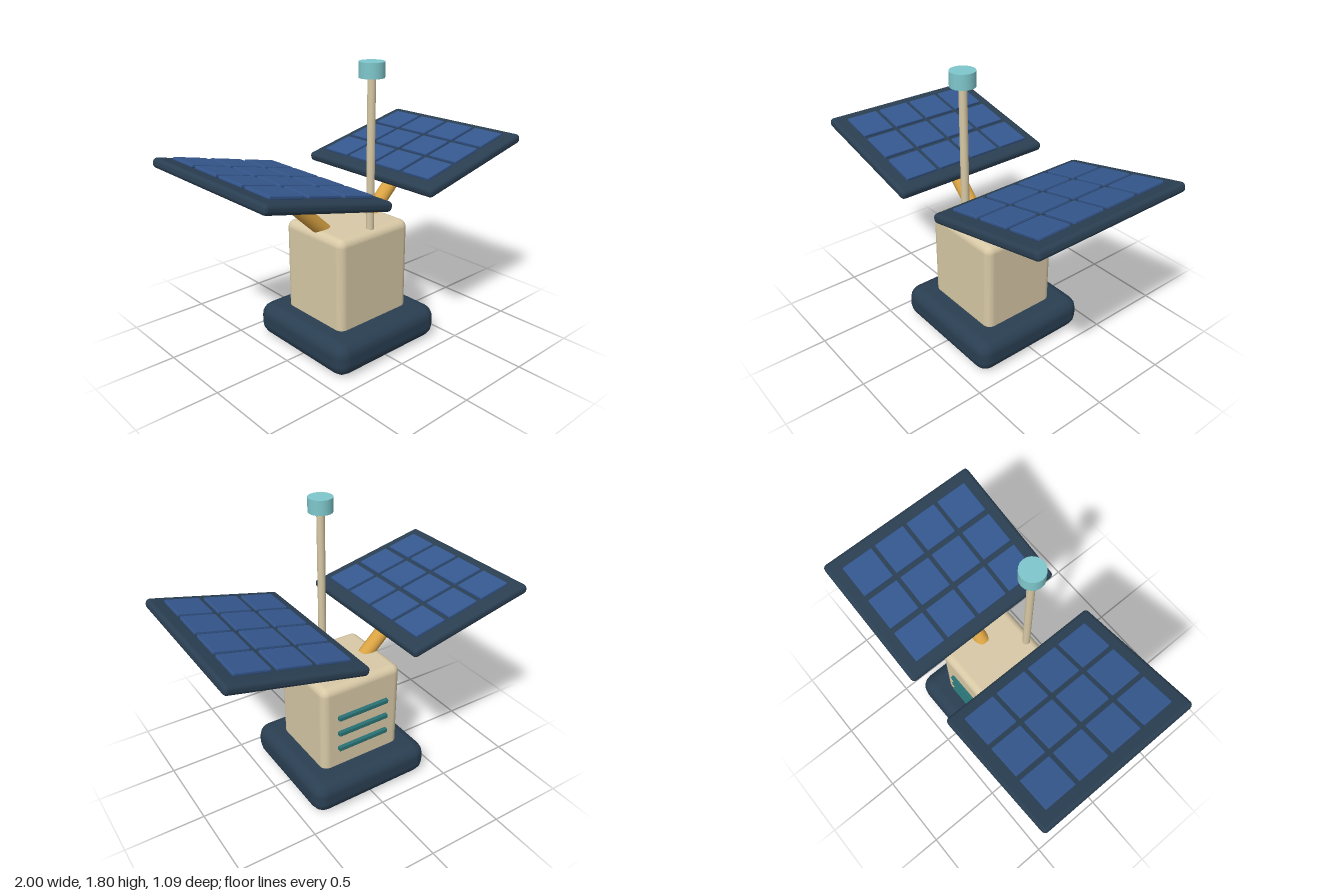
import * as THREE from 'three';
import { RoundedBoxGeometry } from 'three/addons/geometries/RoundedBoxGeometry.js';

const mat = (color) => new THREE.MeshStandardMaterial({ color });
const navy = mat(0x2a3f52), cream = mat(0xd8c9a6), gold = mat(0xdba443);
const aqua = mat(0x7fc8cd), blue = mat(0x35588f), teal = mat(0x2a7376);

function add(parent, name, geometry, material, x = 0, y = 0, z = 0) {
  const mesh = new THREE.Mesh(geometry, material);
  mesh.name = name;
  mesh.position.set(x, y, z);
  parent.add(mesh);
  return mesh;
}

// Tilted solar panel with a 3 x 4 grid of cells, plus its slanted strut
function createWing(side) {
  const wing = new THREE.Group();
  wing.name = side > 0 ? 'leftWing' : 'rightWing';

  const panel = new THREE.Group();
  panel.name = 'solarPanel';
  panel.position.set(side * 0.575, 1.16, 0);
  panel.rotation.z = side * 0.22;
  add(panel, 'panelFrame', new RoundedBoxGeometry(0.87, 0.06, 1.085, 2, 0.025), navy);
  const cell = new RoundedBoxGeometry(0.215, 0.02, 0.21, 1, 0.006);
  for (let i = 0; i < 3; i++) {
    for (let j = 0; j < 4; j++) {
      add(panel, 'solarCell', cell, blue, (i - 1) * 0.245, 0.039, (j - 1.5) * 0.235);
    }
  }
  wing.add(panel);

  const from = new THREE.Vector3(side * 0.185, 0.775, 0);
  const to = new THREE.Vector3(side * 0.57, 1.14, 0);
  const dir = to.clone().sub(from);
  const strut = add(wing, 'strut', new THREE.CylinderGeometry(0.047, 0.047, dir.length(), 16), gold);
  strut.position.copy(from).add(to).multiplyScalar(0.5);
  strut.quaternion.setFromUnitVectors(new THREE.Vector3(0, 1, 0), dir.normalize());
  return wing;
}

export function createModel() {
  const model = new THREE.Group();
  model.name = 'solarStation';

  // Heavy base and body
  add(model, 'base', new RoundedBoxGeometry(0.84, 0.22, 0.82, 2, 0.085), navy, 0, 0.11, 0);
  add(model, 'body', new RoundedBoxGeometry(0.57, 0.63, 0.52, 3, 0.05), cream, 0, 0.49, 0);

  // Vent slats on the back
  const slat = new RoundedBoxGeometry(0.36, 0.03, 0.035, 1, 0.006);
  for (let i = 0; i < 3; i++) {
    add(model, 'ventSlat', slat, teal, 0, 0.355 + i * 0.115, -0.266);
  }

  // Mast with sensor cap near the front edge
  add(model, 'mast', new THREE.CylinderGeometry(0.025, 0.025, 0.95, 12), cream, 0, 1.255, 0.205);
  add(model, 'sensorCap', new THREE.CylinderGeometry(0.076, 0.076, 0.09, 20), aqua, 0, 1.755, 0.205);

  // Mirrored wings
  for (const side of [1, -1]) model.add(createWing(side));
  return model;
}
